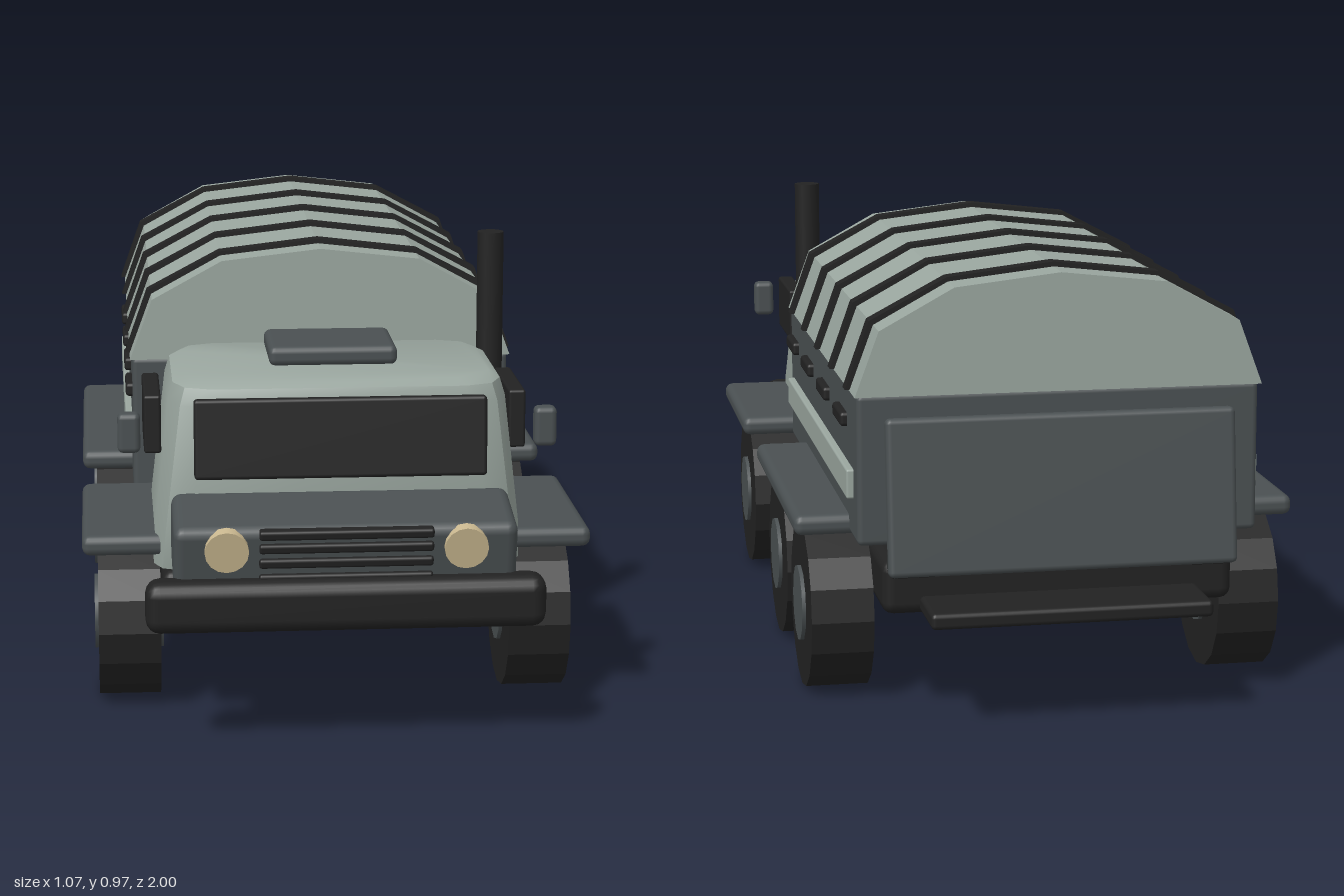
import * as THREE from 'three';
import { RoundedBoxGeometry } from 'three/addons/geometries/RoundedBoxGeometry.js';
import { toCreasedNormals } from 'three/addons/utils/BufferGeometryUtils.js';

const material = (name, color) => {
  const m = new THREE.MeshStandardMaterial({ color });
  m.name = name;
  return m;
};

// Lofted closed solid from rounded-rectangle rings [y, halfWidth, zBack, zFront, cornerRadius]
function loftRings(rings) {
  const pos = [], index = [], steps = 2, n = 4 * (steps + 1);
  for (const [y, hw, z0, z1, r] of rings) {
    const corners = [[hw - r, z1 - r], [-hw + r, z1 - r], [-hw + r, z0 + r], [hw - r, z0 + r]];
    corners.forEach(([cx, cz], c) => {
      for (let s = 0; s <= steps; s++) {
        const a = (c + s / steps) * Math.PI / 2;
        pos.push(cx + r * Math.cos(a), y, cz + r * Math.sin(a));
      }
    });
  }
  for (let k = 0; k < rings.length - 1; k++) {
    for (let i = 0; i < n; i++) {
      const a = k * n + i, b = k * n + (i + 1) % n;
      index.push(a, a + n, b, b, a + n, b + n);
    }
  }
  const top = (rings.length - 1) * n;
  for (let i = 1; i < n - 1; i++) {
    index.push(0, i, i + 1);
    index.push(top, top + i + 1, top + i);
  }
  const g = new THREE.BufferGeometry();
  g.setAttribute('position', new THREE.Float32BufferAttribute(pos, 3));
  g.setIndex(index);
  return toCreasedNormals(g, 0.6);
}

// Solid arch from half a profile, extruded along z
function arch(half, z0, z1) {
  const pts = [...half.map(([x, y]) => [x, y]), ...half.slice(0, -1).reverse().map(([x, y]) => [-x, y])];
  const shape = new THREE.Shape(pts.map(([x, y]) => new THREE.Vector2(x, y)));
  const g = new THREE.ExtrudeGeometry(shape, { depth: z1 - z0, bevelEnabled: false });
  return g.translate(0, 0, z0);
}

export function createModel() {
  const truck = new THREE.Group();
  truck.name = 'truck';
  const light = material('pale grey green', 0x9aa69f);
  const dark = material('slate grey', 0x4a5052);
  const black = material('black', 0x222222);
  const lamp = material('lamp cream', 0xc9b78f);

  const add = (name, geometry, mat, x = 0, y = 0, z = 0, parent = truck) => {
    const m = new THREE.Mesh(geometry, mat);
    m.name = name;
    m.position.set(x, y, z);
    parent.add(m);
    return m;
  };
  const box = (w, h, d, r = 0.01) => new RoundedBoxGeometry(w, h, d, 2, r);

  // Chassis, bumper and rear step
  add('chassis', box(0.74, 0.115, 1.64, 0.025), black, 0, 0.278, -0.035);
  add('frontBumper', box(0.816, 0.108, 0.085, 0.03), black, 0, 0.316, 0.957);
  add('rearStep', box(0.585, 0.034, 0.17, 0.01), black, 0, 0.243, -0.915);

  // Cab
  add('cab', loftRings([
    [0.34, 0.385, 0.315, 0.785, 0.06],
    [0.42, 0.382, 0.32, 0.805, 0.07],
    [0.69, 0.352, 0.35, 0.8, 0.08],
    [0.725, 0.342, 0.36, 0.79, 0.08],
    [0.738, 0.32, 0.38, 0.77, 0.075],
  ]), light);
  add('windshield', box(0.604, 0.166, 0.028, 0.008), black, 0, 0.627, 0.818).rotation.x = -0.1;
  add('roofHatch', box(0.272, 0.042, 0.212, 0.015), dark, 0, 0.757, 0.525);

  // Sloping hood with grille and headlights
  const hood = new THREE.Group();
  hood.name = 'hood';
  hood.position.set(0, 0.421, 0.868);
  hood.rotation.x = 0.2;
  truck.add(hood);
  add('hoodBody', box(0.7, 0.15, 0.19, 0.022), dark, 0, 0, 0, hood);
  for (const y of [0.064, 0.034, 0.001, -0.034]) {
    add('grilleBar', box(0.354, 0.02, 0.024, 0.006), black, 0, y, 0.094, hood);
  }
  for (const s of [-1, 1]) {
    add('headlight', new THREE.CylinderGeometry(0.045, 0.045, 0.025, 16), lamp, s * 0.243, 0.031, 0.095, hood)
      .rotation.x = Math.PI / 2;
  }

  // Exhaust stack on the left side
  add('exhaustStack', new THREE.CylinderGeometry(0.029, 0.029, 0.348, 12), black, 0.371, 0.795, 0.327);

  // Cargo body and tailgate
  add('cargoBody', box(0.84, 0.315, 1.117, 0.012), dark, 0, 0.526, -0.291);
  add('tailgate', box(0.73, 0.325, 0.035, 0.012), dark, 0, 0.475, -0.88).rotation.x = 0.12;

  // Canvas cover with straps
  add('canvasCover', arch([[0.425, 0.68], [0.375, 0.815], [0.22, 0.9], [0, 0.925]], -0.857, 0.272), light);
  for (let i = 0; i < 5; i++) {
    const z = 0.18 - i * 0.235;
    add('canvasStrap', arch([[0.434, 0.682], [0.384, 0.823], [0.222, 0.909], [0, 0.935]], z - 0.018, z + 0.018), black);
  }

  // Mirrored side parts
  for (const s of [-1, 1]) {
    add('sideWindow', box(0.036, 0.124, 0.235, 0.006), black, s * 0.384, 0.628, 0.567);
    add('mirror', box(0.047, 0.084, 0.04, 0.012), dark, s * 0.434, 0.627, 0.742);
    add('frontFender', box(0.18, 0.044, 0.465, 0.018), dark, s * 0.445, 0.386, 0.527);
    add('rearFender', box(0.15, 0.044, 0.74, 0.018), dark, s * 0.46, 0.386, -0.357);
    add('sideStripe', box(0.024, 0.062, 1.015, 0.005), light, s * 0.423, 0.488, -0.288);
    add('tailgateHinge', box(0.1, 0.05, 0.06, 0.01), black, s * 0.31, 0.335, -0.872);
    for (let i = 0; i < 4; i++) {
      add('sideHandle', box(0.03, 0.03, 0.127, 0.008), black, s * 0.42, 0.605, 0.18 - i * 0.274);
    }

    // Wheels
    for (const z of [0.53, -0.133, -0.564]) {
      const wheel = new THREE.Group();
      wheel.name = 'wheel';
      wheel.position.set(s * 0.437, 0.18, z);
      wheel.rotation.z = Math.PI / 2;
      truck.add(wheel);
      const tyre = new THREE.CylinderGeometry(0.18, 0.18, 0.132, 16);
      add('tyre', toCreasedNormals(tyre, 0.3), black, 0, 0, 0, wheel);
      add('hub', new THREE.CylinderGeometry(0.082, 0.082, 0.148, 12), dark, 0, 0, 0, wheel);
    }
  }
  return truck;
}
